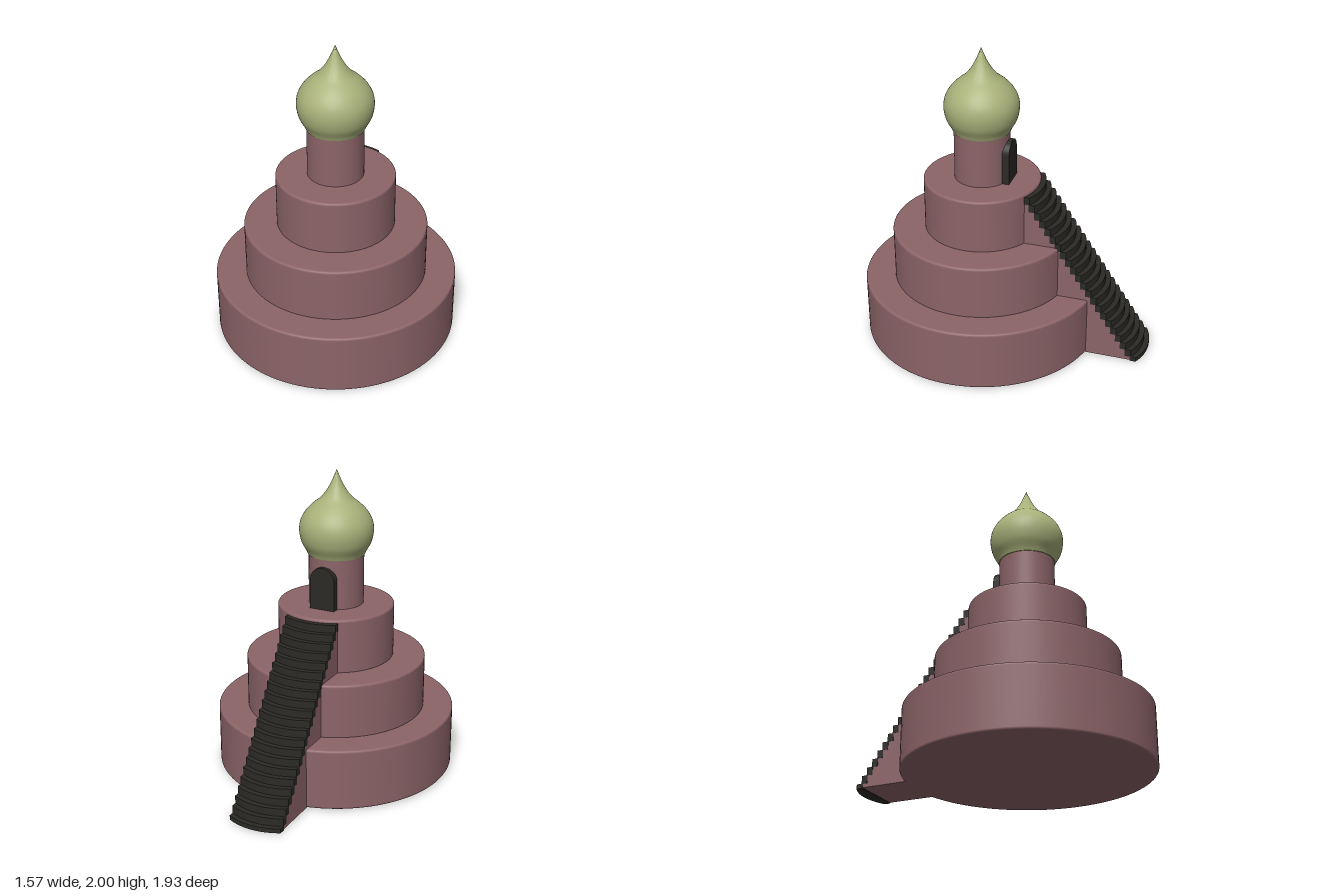
import * as THREE from 'three';
import { toCreasedNormals } from 'three/addons/utils/BufferGeometryUtils.js';

const AXIS_Z = 0.18; // centre line of the round tower
const HALF_W = 0.18; // half width of the stair

const stone = new THREE.MeshStandardMaterial({ color: 0x8c6468 });
const gold = new THREE.MeshStandardMaterial({ color: 0xa9b17a });
const dark = new THREE.MeshStandardMaterial({ color: 0x2b2a26 });

function add(group, name, geometry, material, x = 0, y = 0, z = 0) {
  const mesh = new THREE.Mesh(geometry, material);
  mesh.name = name;
  mesh.position.set(x, y, z);
  group.add(mesh);
  return mesh;
}

// Solid drum with small rounded rims
function drum(radius, y0, y1, f) {
  const pts = [new THREE.Vector2(0, y0)];
  const e = 0.002;
  const rim = (cy, from) => {
    for (let i = 0; i <= 4; i++) {
      const a = from + (i / 4) * Math.PI / 2;
      pts.push(new THREE.Vector2(radius - f + f * Math.cos(a), cy + f * Math.sin(a)));
    }
  };
  pts.push(new THREE.Vector2(radius - f - e, y0));
  rim(y0 + f, -Math.PI / 2);
  pts.push(new THREE.Vector2(radius, y0 + f + e), new THREE.Vector2(radius, y1 - f - e));
  rim(y1 - f, 0);
  pts.push(new THREE.Vector2(radius - f - e, y1), new THREE.Vector2(0, y1));
  return new THREE.LatheGeometry(pts, 96);
}

export function createModel() {
  const model = new THREE.Group();
  model.name = 'steppedTower';

  // Three stacked round tiers and the column above them
  const tiers = [[0.785, 0.005, 0.41], [0.59, 0.40, 0.765], [0.38, 0.755, 1.12]];
  tiers.forEach(([r, y0, y1], i) => add(model, 'tier' + (i + 1), drum(r, y0, y1, 0.014), stone, 0, 0, AXIS_Z));
  add(model, 'column', new THREE.CylinderGeometry(0.18, 0.18, 0.36, 64), stone, 0, 1.29, AXIS_Z);

  // Onion dome
  const profile = new THREE.SplineCurve([
    [0.185, 1.448], [0.197, 1.475], [0.226, 1.53], [0.24, 1.6], [0.232, 1.665], [0.2, 1.725],
    [0.152, 1.775], [0.108, 1.81], [0.07, 1.855], [0.038, 1.91], [0.016, 1.96], [0, 2],
  ].map(([r, y]) => new THREE.Vector2(r, y)));
  const domePts = [new THREE.Vector2(0, 1.448), ...profile.getPoints(44)];
  domePts.forEach((p) => { p.x = Math.max(0, p.x); });
  const dome = toCreasedNormals(new THREE.LatheGeometry(domePts, 64), 0.7);
  add(model, 'onionDome', dome, gold, 0, 0, AXIS_Z);

  // Arched door at the back of the column
  const arch = new THREE.Shape();
  const r = 0.085;
  arch.moveTo(-r, 0);
  arch.lineTo(r, 0);
  arch.lineTo(r, 0.195);
  arch.absarc(0, 0.195, r, 0, Math.PI, false);
  arch.closePath();
  const doorGeo = new THREE.ExtrudeGeometry(arch, { depth: 0.085, bevelEnabled: false, curveSegments: 24 });
  add(model, 'door', toCreasedNormals(doorGeo, 0.6), dark, 0, 1.12, -0.025);

  // Sloping ramp under the stair (side outline drawn in z, y and extruded across x)
  const side = new THREE.Shape();
  side.moveTo(-0.05, 0.005);
  side.lineTo(0.91, 0.005);
  side.lineTo(0.15, 1.1);
  side.lineTo(-0.05, 1.1);
  side.closePath();
  const rampGeo = new THREE.ExtrudeGeometry(side, { depth: 2 * HALF_W - 0.004, bevelEnabled: false });
  rampGeo.rotateY(Math.PI / 2); // outline x becomes -z
  add(model, 'ramp', rampGeo, stone, -HALF_W + 0.002, 0, 0);

  // Steps with fronts curved like the top tier
  const R = 0.38;
  const half = Math.asin(HALF_W / R);
  const tread = new THREE.Shape();
  tread.moveTo(-HALF_W, -0.04 + R * Math.cos(half) - R);
  tread.lineTo(HALF_W, -0.04 + R * Math.cos(half) - R);
  tread.absarc(0, -R, R, Math.PI / 2 - half, Math.PI / 2 + half, false);
  tread.closePath();
  const steps = 22;
  const pitch = 1.07 / (steps - 1);
  const stepGeo = new THREE.ExtrudeGeometry(tread, { depth: pitch, bevelEnabled: false, curveSegments: 16 });
  stepGeo.rotateX(-Math.PI / 2); // shape y becomes -z, depth becomes +y
  const creased = toCreasedNormals(stepGeo, 0.5);
  const stair = new THREE.Group();
  stair.name = 'stair';
  for (let i = 0; i < steps; i++) {
    const top = 1.1 - i * pitch;
    const step = add(stair, 'step' + (i + 1), creased, dark, 0, Math.max(0, top - pitch), -0.235 - (i * 0.732) / (steps - 1));
    if (top < pitch) step.scale.y = top / pitch; // last step is cut by the ground
  }
  model.add(stair);
  return model;
}
